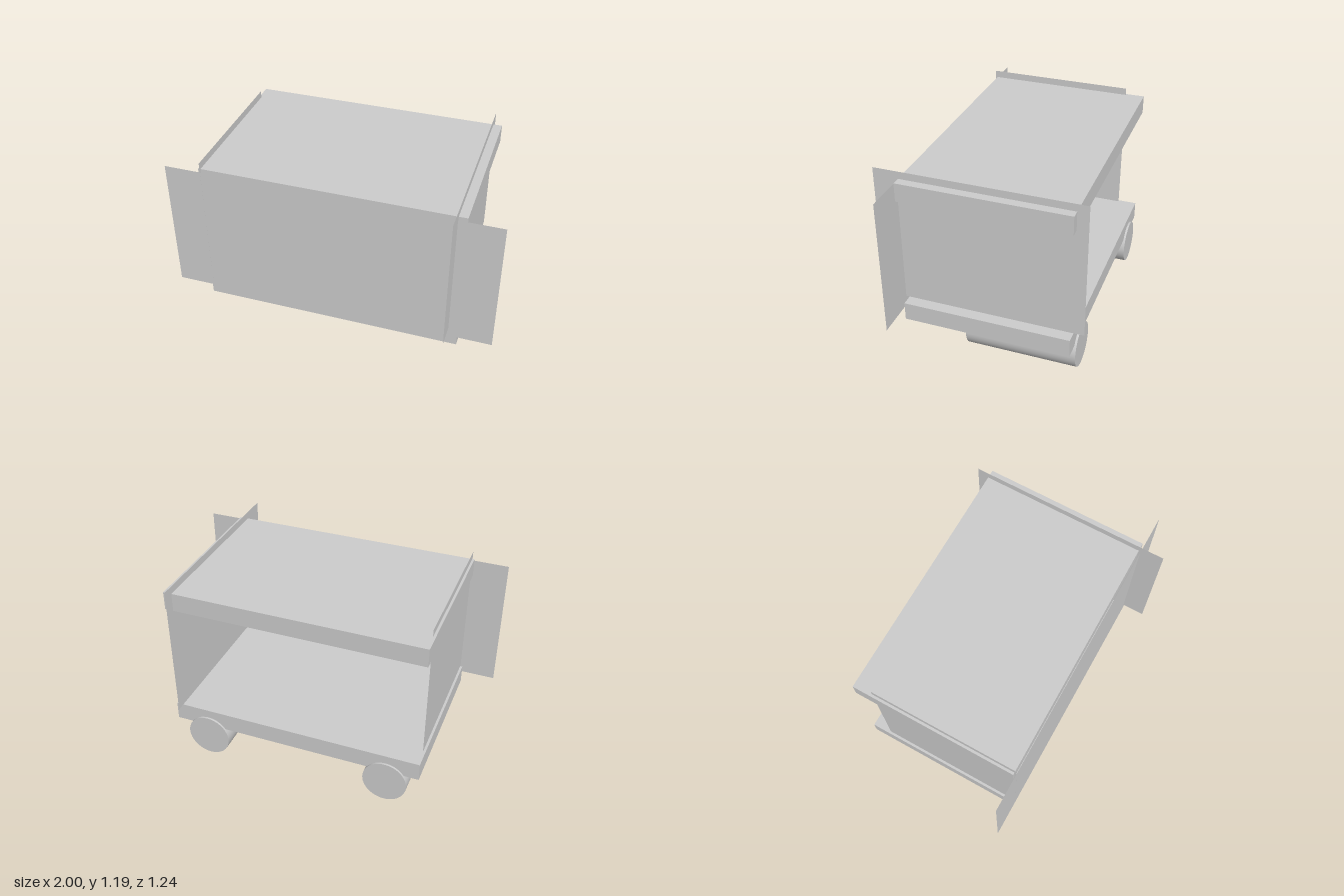
import * as THREE from 'three';

export function createModel() {
  const model = new THREE.Group();
  const solid = new THREE.MeshStandardMaterial({ color: 0xcccccc });
  const sheet = new THREE.MeshStandardMaterial({ color: 0xcccccc, side: THREE.DoubleSide });

  const add = (name, geometry, material, x, y, z) => {
    const mesh = new THREE.Mesh(geometry, material);
    mesh.name = name;
    mesh.position.set(x, y, z);
    model.add(mesh);
    return mesh;
  };

  // Floor and roof slabs
  const slab = new THREE.BoxGeometry(1.58, 0.115, 1.02);
  add('floorSlab', slab, solid, 0, 0.268, -0.042);
  add('roofSlab', slab, solid, 0, 1.083, -0.042);

  // Thin wall sheets; the back stays open
  add('frontPanel', new THREE.PlaneGeometry(2, 0.845), sheet, 0, 0.702, 0.48);
  add('leftPanel', new THREE.PlaneGeometry(1.24, 0.845), sheet, 0.737, 0.763, 0)
    .rotation.y = Math.PI / 2;
  add('rightPanel', new THREE.PlaneGeometry(0.915, 0.875), sheet, -0.775, 0.747, 0.023)
    .rotation.y = -Math.PI / 2;

  // Long rollers running front to back
  const roller = new THREE.CylinderGeometry(0.136, 0.136, 0.68, 48).rotateX(Math.PI / 2);
  add('leftRoller', roller, solid, 0.575, 0.136, -0.225);
  add('rightRoller', roller, solid, -0.585, 0.136, -0.225);

  return model;
}
